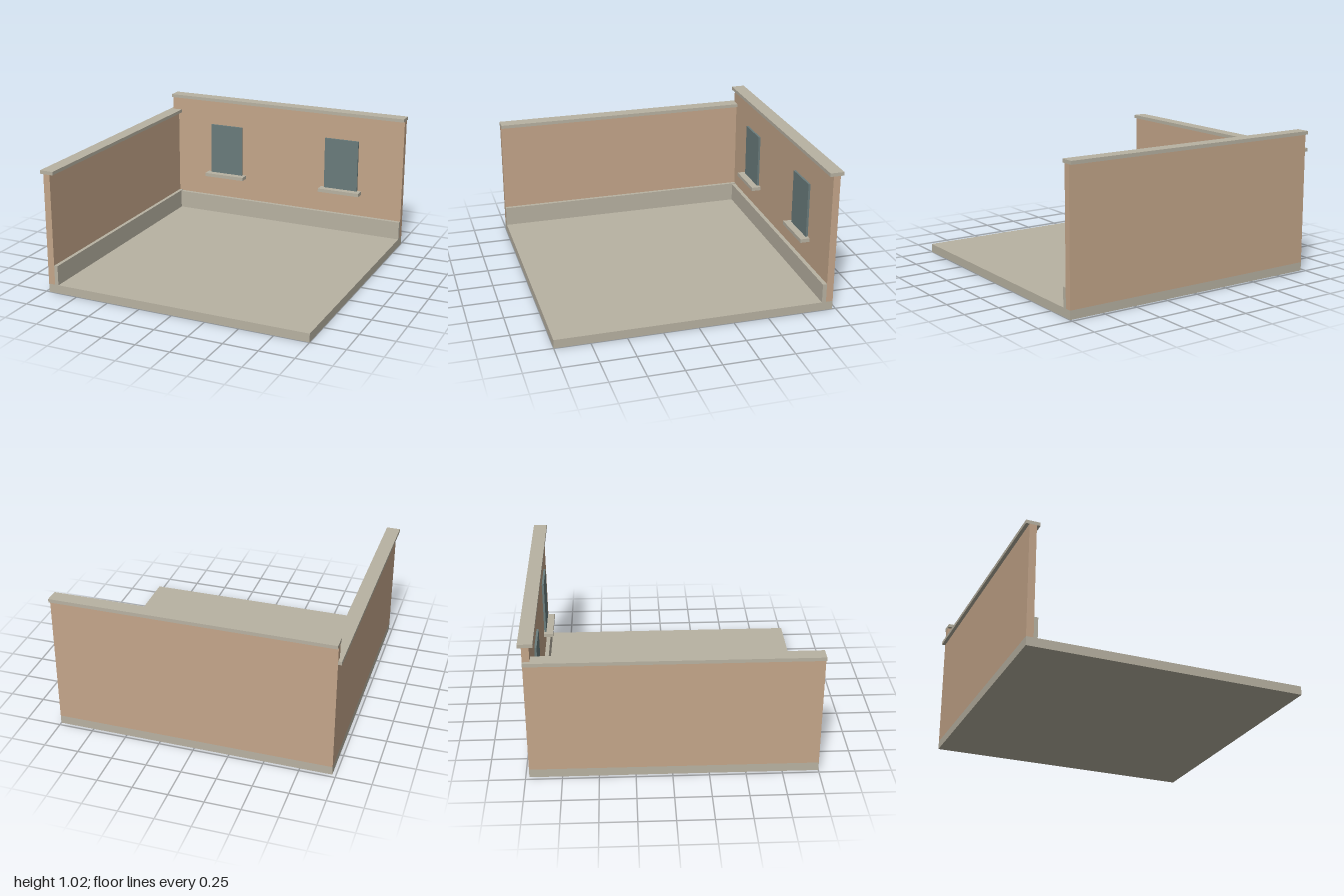
import * as THREE from 'three';

const material = (color) => new THREE.MeshStandardMaterial({ color });

export function createModel() {
  const model = new THREE.Group();
  model.name = 'roofTerrace';
  const stone = material(0xb8b2a2);
  const render = material(0xc4a68a);
  const glass = material(0x6a7c7c);

  // Box given by its lower and upper limits on each axis
  const slab = (name, mat, [x0, x1], [y0, y1], [z0, z1], parent = model) => {
    const mesh = new THREE.Mesh(new THREE.BoxGeometry(x1 - x0, y1 - y0, z1 - z0), mat);
    mesh.position.set((x0 + x1) / 2, (y0 + y1) / 2, (z0 + z1) / 2);
    mesh.name = name;
    parent.add(mesh);
  };

  slab('floor', stone, [-0.975, 1], [0, 0.062], [-0.975, 1]);

  // Tall back wall with skirting and coping
  slab('backWall', render, [-0.975, 1], [0.062, 1], [-0.975, -0.925]);
  slab('backSkirting', stone, [-0.925, 1], [0.062, 0.2], [-0.925, -0.895]);
  slab('backCoping', stone, [-0.975, 1], [1, 1.025], [-1, -0.9]);

  // Lower side wall with skirting and coping
  slab('sideWall', render, [-0.975, -0.925], [0.062, 0.872], [-0.925, 1]);
  slab('sideSkirting', stone, [-0.925, -0.898], [0.062, 0.206], [-0.925, 1]);
  slab('sideCoping', stone, [-1, -0.9], [0.872, 0.897], [-0.975, 1]);

  // Two windows, each a pane above a projecting sill
  for (const x of [-0.483, 0.506]) {
    const window = new THREE.Group();
    window.name = 'window';
    window.position.x = x;
    slab('windowPane', glass, [-0.137, 0.137], [0.402, 0.806], [-0.919, -0.904], window);
    slab('windowSill', stone, [-0.168, 0.168], [0.376, 0.403], [-0.922, -0.852], window);
    model.add(window);
  }

  return model;
}
